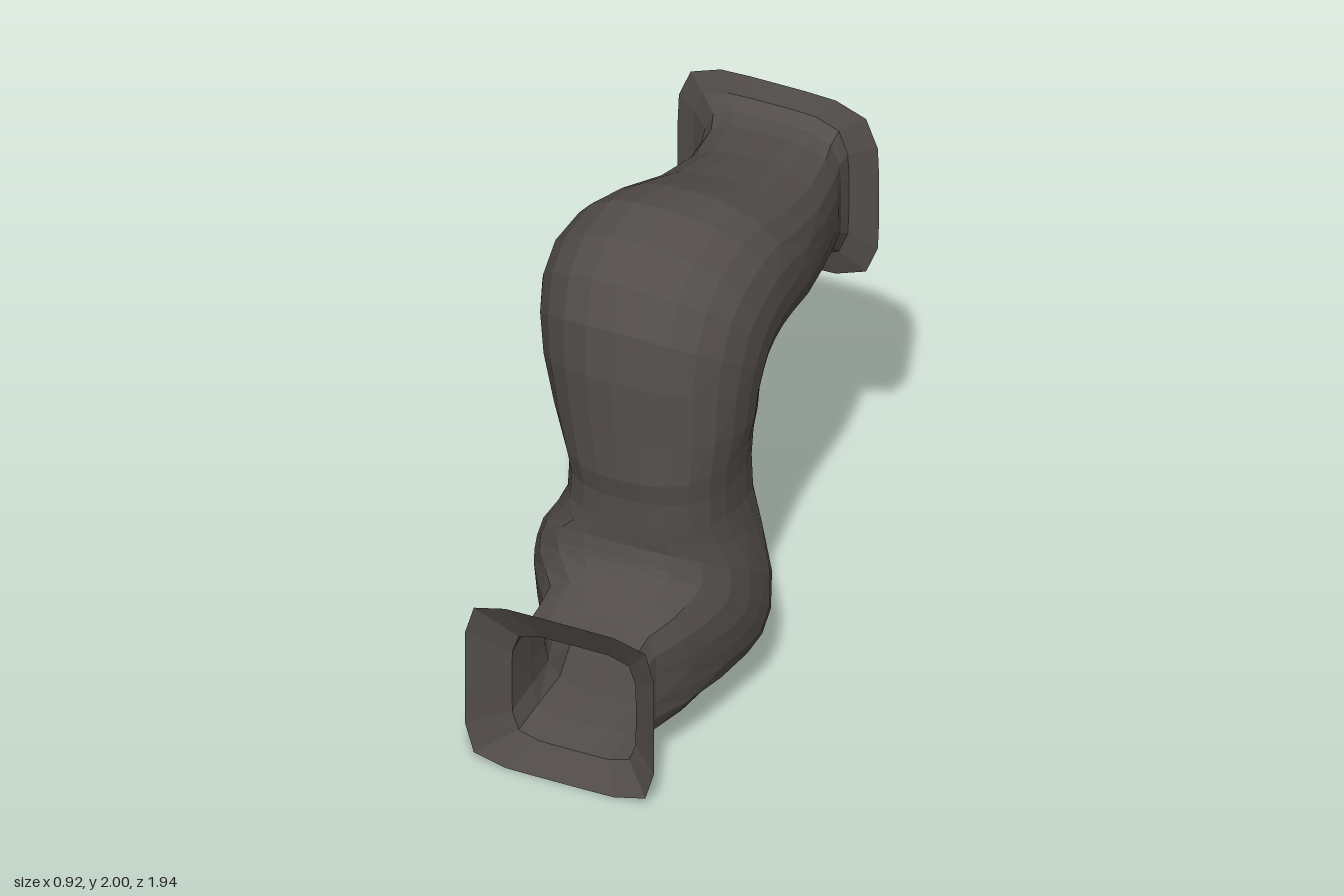
import * as THREE from 'three';

const SEGMENTS = 24;

// Cross-sections from the front mouth to the back mouth:
// [lower/back edge z, y, upper/front edge z, y, xMin, xMax, squareness, bulge shift]
const frontMouth = [
  [0.97, 0.00, 0.97, 0.71, -0.37, 0.41, 7, 0],
  [0.90, 0.11, 0.90, 0.575, -0.21, 0.30, 6, 0],
];
const lowerBend = [
  [0.90, 0.11, 0.90, 0.575, -0.21, 0.30, 6, 0],
  [0.75, 0.13, 0.75, 0.62, -0.21, 0.31, 5, 0],
  [0.55, 0.13, 0.64, 0.665, -0.23, 0.37, 4, -0.1],
  [0.32, 0.12, 0.59, 0.71, -0.32, 0.41, 3, -0.2],
  [0.13, 0.14, 0.565, 0.745, -0.38, 0.44, 2.8, -0.26],
  [0.01, 0.17, 0.555, 0.77, -0.405, 0.453, 2.7, -0.28],
  [-0.07, 0.25, 0.55, 0.79, -0.41, 0.455, 2.7, -0.28],
  [-0.12, 0.40, 0.54, 0.82, -0.39, 0.44, 2.7, -0.25],
  [-0.135, 0.64, 0.54, 0.86, -0.31, 0.40, 2.8, -0.12],
  [-0.13, 0.83, 0.54, 0.92, -0.255, 0.38, 2.7, 0],
];
const upperBend = [
  [-0.12, 1.00, 0.54, 1.02, -0.25, 0.38, 2.6, 0],
  [-0.13, 1.12, 0.555, 1.11, -0.27, 0.39, 2.5, 0],
  [-0.15, 1.19, 0.545, 1.27, -0.33, 0.41, 2.3, 0],
  [-0.17, 1.21, 0.535, 1.52, -0.39, 0.42, 2.15, 0],
  [-0.19, 1.225, 0.50, 1.72, -0.425, 0.43, 2.1, 0],
  [-0.22, 1.24, 0.41, 1.87, -0.45, 0.43, 2.1, 0],
  [-0.25, 1.25, 0.25, 1.96, -0.46, 0.425, 2.15, 0],
  [-0.28, 1.265, 0.05, 2.00, -0.435, 0.42, 2.2, 0],
  [-0.34, 1.28, -0.12, 1.985, -0.37, 0.41, 2.3, 0],
  [-0.45, 1.30, -0.35, 1.91, -0.29, 0.39, 2.6, 0],
  [-0.60, 1.305, -0.60, 1.85, -0.25, 0.35, 3, 0],
  [-0.80, 1.305, -0.80, 1.825, -0.27, 0.305, 3.5, 0],
  [-0.89, 1.29, -0.88, 1.83, -0.29, 0.275, 4.5, 0],
];
const backMouth = [
  [-0.89, 1.29, -0.88, 1.83, -0.29, 0.275, 4.5, 0],
  [-0.94, 1.245, -0.94, 1.86, -0.36, 0.28, 5, 0],
  [-0.97, 1.155, -0.97, 1.935, -0.44, 0.39, 5, 0],
];

// Points of one rounded-square cross-section
function ring([az, ay, bz, by, xMin, xMax, n, shift]) {
  const points = [];
  for (let j = 0; j < SEGMENTS; j++) {
    const a = (j / SEGMENTS) * Math.PI * 2;
    const c = Math.cos(a), s = Math.sin(a);
    const r = 1 / Math.pow(Math.abs(c) ** n + Math.abs(s) ** n, 1 / n);
    const v = s * r + shift * (1 - (s * r) ** 2);
    points.push([
      (xMin + xMax) / 2 + (c * r * (xMax - xMin)) / 2,
      (ay + by) / 2 + (v * (by - ay)) / 2,
      (az + bz) / 2 + (v * (bz - az)) / 2,
    ]);
  }
  return points;
}

// Open skin through a row of cross-sections
function skin(sections) {
  const positions = sections.flatMap((s) => ring(s).flat());
  const index = [];
  for (let i = 0; i < sections.length - 1; i++) {
    for (let j = 0; j < SEGMENTS; j++) {
      const k = (j + 1) % SEGMENTS;
      const a = i * SEGMENTS + j, b = i * SEGMENTS + k;
      const c = a + SEGMENTS, d = b + SEGMENTS;
      // alternate the diagonals for an irregular faceted look
      if ((i + j) % 2) index.push(a, c, b, b, c, d);
      else index.push(a, c, d, a, d, b);
    }
  }
  const geometry = new THREE.BufferGeometry();
  geometry.setAttribute('position', new THREE.Float32BufferAttribute(positions, 3));
  geometry.setIndex(index);
  const flat = geometry.toNonIndexed();
  flat.computeVertexNormals();
  return flat;
}

export function createModel() {
  const darkGrey = new THREE.MeshStandardMaterial({
    color: 0x524d4b, flatShading: true, side: THREE.DoubleSide,
  });
  darkGrey.name = 'dark grey';

  const model = new THREE.Group();
  model.name = 'bentPipe';
  const add = (name, sections) => {
    const mesh = new THREE.Mesh(skin(sections), darkGrey);
    mesh.name = name;
    model.add(mesh);
  };

  // Flared square mouths and the two bends between them
  add('frontFlange', frontMouth);
  add('lowerBend', [...lowerBend, upperBend[0]]);
  add('upperBend', upperBend);
  add('backFlange', backMouth);
  return model;
}
